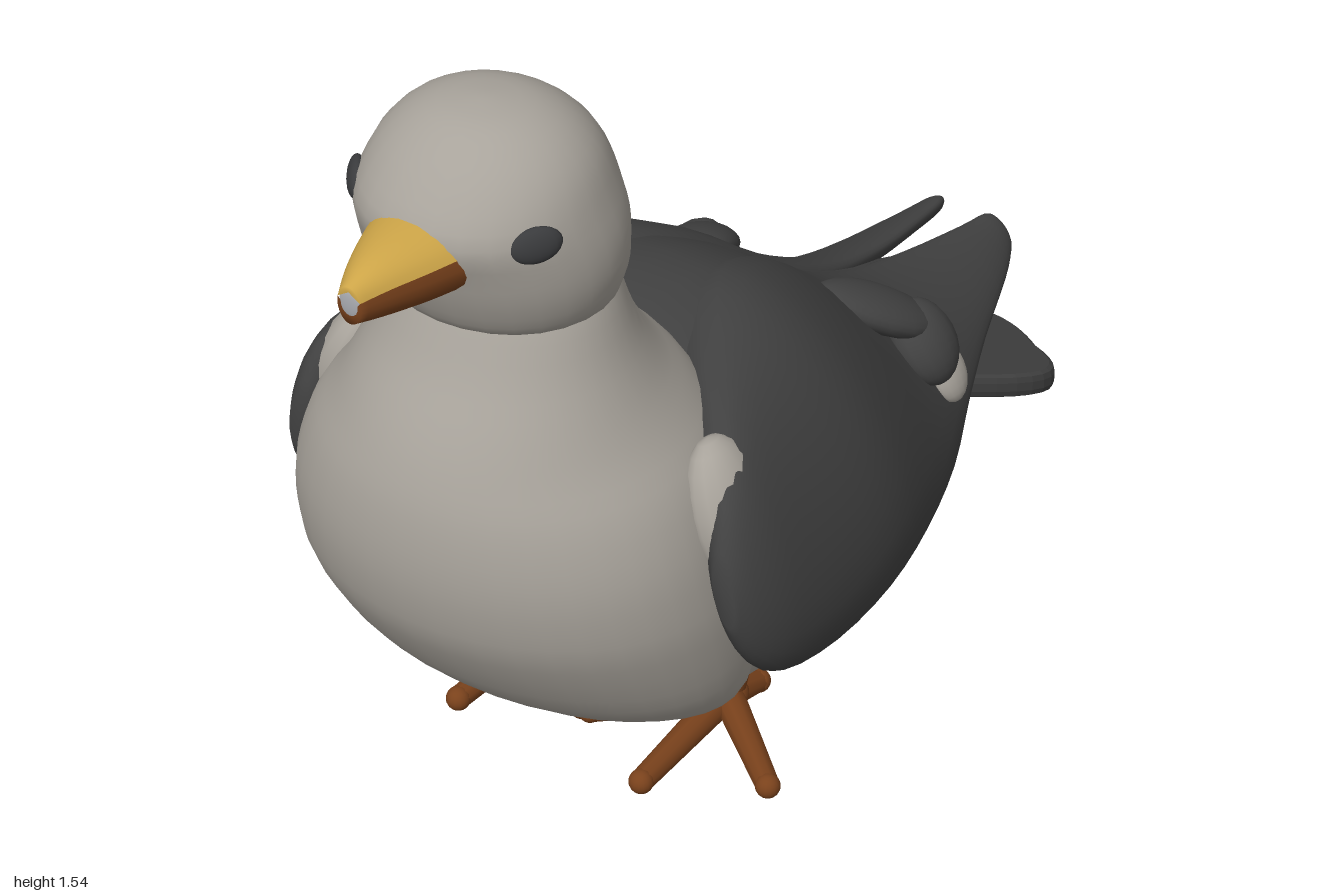
import * as THREE from 'three';

const mat = (name, color) => Object.assign(new THREE.MeshStandardMaterial({ color }), { name });

// Smoothly resample rows of section parameters
function resample(rows, per) {
  const out = [], n = rows.length;
  for (let i = 0; i < n - 1; i++) {
    const [p, a, b, q] = [rows[Math.max(i - 1, 0)], rows[i], rows[i + 1], rows[Math.min(i + 2, n - 1)]];
    for (let k = 0; k < per; k++) {
      const t = k / per;
      out.push(a.map((v, c) => v + 0.5 * t * (b[c] - p[c] +
        t * (2 * p[c] - 5 * v + 4 * b[c] - q[c] + t * (3 * (v - b[c]) + q[c] - p[c])))));
    }
  }
  out.push(rows[n - 1]);
  return out;
}

// Skin rings of points; point(row, angle) gives [x, y, z]. Rows run front to back or bottom to top.
function loft(rows, point, { seg = 28, per = 3, from = 0, to = Math.PI * 2 } = {}) {
  const secs = resample(rows, per), closed = to - from > 6.28;
  const count = closed ? seg : seg + 1, pos = [], idx = [];
  for (const row of secs)
    for (let j = 0; j < count; j++) pos.push(...point(row, from + (to - from) * j / seg));
  for (let i = 0; i < secs.length - 1; i++)
    for (let j = 0; j < seg; j++) {
      const k = (j + 1) % count, a = i * count + j, b = i * count + k;
      idx.push(a, a + count, b, b, a + count, b + count);
    }
  // end caps
  for (const end of [0, secs.length - 1]) {
    const mid = [0, 0, 0];
    for (let j = 0; j < count; j++)
      for (let c = 0; c < 3; c++) mid[c] += pos[(end * count + j) * 3 + c] / count;
    const m = pos.length / 3;
    pos.push(...mid);
    for (let j = 0; j < seg; j++) {
      const a = end * count + j, b = end * count + (j + 1) % count;
      idx.push(...(end ? [m, b, a] : [m, a, b]));
    }
  }
  const g = new THREE.BufferGeometry();
  g.setAttribute('position', new THREE.Float32BufferAttribute(pos, 3));
  g.setIndex(idx);
  g.computeVertexNormals();
  return g;
}

const pow = (v, n) => Math.sign(v) * Math.abs(v) ** (2 / n);
// Row [z, bottom, top, halfWidth]
const alongZ = n => ([z, lo, hi, w], a) =>
  [w * pow(Math.cos(a), n), (lo + hi) / 2 + (hi - lo) / 2 * pow(Math.sin(a), n), z];
// Row [y, front, back, halfWidth]
const alongY = ([y, f, b, w], a) => [w * Math.cos(a), y, (f + b) / 2 + (f - b) / 2 * Math.sin(a)];
// Row [z, outerX, outerY, innerX, innerY, thickness]
const leaning = ([z, ax, ay, bx, by, t], a) => {
  const dx = bx - ax, dy = by - ay, len = Math.hypot(dx, dy), c = t * Math.cos(a) / len, s = Math.sin(a) / 2;
  return [(ax + bx) / 2 + dy * c + dx * s, (ay + by) / 2 - dx * c + dy * s, z];
};

function mirrored(geo) {
  const g = geo.clone();
  g.scale(-1, 1, 1);
  if (!g.index) g.setIndex([...Array(g.attributes.position.count).keys()]);
  const ix = g.index.array;
  for (let i = 0; i < ix.length; i += 3) [ix[i], ix[i + 1]] = [ix[i + 1], ix[i]];
  return g;
}

function ellipsoid(center, radii, rot = [0, 0, 0]) {
  const g = new THREE.SphereGeometry(1, 16, 12);
  g.scale(...radii);
  g.rotateX(rot[0]); g.rotateY(rot[1]); g.rotateZ(rot[2]);
  g.translate(...center);
  return g;
}

// Tapered round limb between two points
function limb(a, b, ra, rb) {
  const A = new THREE.Vector3(...a), B = new THREE.Vector3(...b), d = B.clone().sub(A);
  const g = new THREE.CylinderGeometry(rb, ra, d.length(), 10);
  g.applyQuaternion(new THREE.Quaternion().setFromUnitVectors(new THREE.Vector3(0, 1, 0), d.normalize()));
  g.translate(...A.add(B).multiplyScalar(0.5).toArray());
  return g;
}

export function createModel() {
  const model = new THREE.Group();
  model.name = 'bird';
  const light = mat('pale grey plumage', 0xa8a39b), dark = mat('charcoal plumage', 0x424242);
  const yellow = mat('yellow beak', 0xcda548), brown = mat('brown legs', 0x7a421c);
  const black = mat('dark eye', 0x3a3b3d), tip = mat('beak tip grey', 0xa9abb0);
  const add = (name, geo, m) => {
    const mesh = new THREE.Mesh(geo, m);
    mesh.name = name;
    model.add(mesh);
  };
  const pair = (name, geo, m) => {
    add('left' + name, geo, m);
    add('right' + name, mirrored(geo), m);
  };

  // Belly to vent
  add('body', loft([
    [0.78, 0.48, 0.7, 0.14], [0.7, 0.36, 0.8, 0.28], [0.6, 0.27, 0.84, 0.365],
    [0.5, 0.225, 0.86, 0.405], [0.3, 0.175, 0.86, 0.43], [0.1, 0.155, 0.82, 0.425], [-0.1, 0.165, 0.71, 0.385],
    [-0.3, 0.19, 0.54, 0.315], [-0.5, 0.21, 0.42, 0.23], [-0.65, 0.225, 0.36, 0.16], [-0.72, 0.25, 0.33, 0.09],
  ], alongZ(2.7), { seg: 40 }), light);

  // Breast flowing up into the neck, and head
  add('breastAndNeck', loft([
    [0.22, 0.48, 0.25, 0.29], [0.3, 0.66, 0.22, 0.375], [0.4, 0.775, 0.2, 0.415], [0.55, 0.872, 0.2, 0.43],
    [0.65, 0.905, 0.22, 0.425], [0.75, 0.915, 0.235, 0.408], [0.85, 0.905, 0.235, 0.372],
    [0.93, 0.88, 0.27, 0.315], [1, 0.845, 0.33, 0.272], [1.08, 0.795, 0.38, 0.235], [1.17, 0.75, 0.41, 0.205],
    [1.22, 0.72, 0.42, 0.18],
  ], alongY, { seg: 40 }), light);
  add('head', loft([
    [1.15, 0.73, 0.43, 0.17], [1.175, 0.775, 0.41, 0.208], [1.24, 0.81, 0.395, 0.231], [1.31, 0.835, 0.392, 0.233],
    [1.38, 0.855, 0.402, 0.217], [1.45, 0.81, 0.435, 0.19], [1.5, 0.755, 0.485, 0.145], [1.53, 0.7, 0.545, 0.085],
    [1.54, 0.64, 0.61, 0.015],
  ], alongY), light);
  pair('Eye', ellipsoid([0.184, 1.378, 0.743], [0.016, 0.032, 0.046], [0, -0.66, 0.2]), black);

  // Beak in two shells
  const beak = [[1, 1.3, 1.372, 0.024], [0.95, 1.288, 1.392, 0.05], [0.88, 1.275, 1.405, 0.08], [0.78, 1.265, 1.415, 0.115]];
  const split = 0.33;
  add('upperBeak', loft(beak, alongZ(2), { seg: 12, from: split, to: Math.PI - split }), yellow);
  add('lowerBeak', loft(beak, alongZ(2), { seg: 14, from: Math.PI - split, to: Math.PI * 2 + split }), brown);
  add('beakTip', ellipsoid([0, 1.338, 0.997], [0.022, 0.027, 0.005]), tip);

  // Dark back between the wings
  add('mantle', loft([
    [0.42, 0.7, 0.86, 0.2], [0.32, 0.5, 0.942, 0.29], [0.1, 0.4, 0.935, 0.32], [-0.1, 0.4, 0.83, 0.27],
    [-0.3, 0.36, 0.67, 0.2], [-0.5, 0.36, 0.55, 0.12], [-0.7, 0.36, 0.465, 0.05], [-0.8, 0.37, 0.43, 0.015],
  ], alongZ(2.2)), dark);

  // Folded wings, rounded shoulder to pointed tip
  pair('Wing', loft([
    [0.61, 0.475, 0.62, 0.45, 0.74, 0.02], [0.57, 0.485, 0.53, 0.425, 0.84, 0.05], [0.48, 0.485, 0.44, 0.36, 0.905, 0.1],
    [0.3, 0.475, 0.375, 0.21, 0.93, 0.165], [0.1, 0.462, 0.35, 0.075, 0.918, 0.195], [-0.1, 0.43, 0.34, 0.03, 0.82, 0.155],
    [-0.3, 0.38, 0.34, 0.01, 0.665, 0.1], [-0.5, 0.3, 0.345, 0.01, 0.555, 0.055], [-0.7, 0.22, 0.35, 0.02, 0.49, 0.035],
    [-0.9, 0.15, 0.36, 0.04, 0.45, 0.025], [-0.98, 0.115, 0.37, 0.05, 0.44, 0.02], [-1, 0.1, 0.385, 0.065, 0.425, 0.01],
  ], leaning), dark);
  pair('Shoulder', ellipsoid([0.41, 0.775, 0.505], [0.065, 0.15, 0.09], [0, 0, 0.35]), light);

  // Raised feathers with pale patches
  pair('Tuft', ellipsoid([0.2, 0.65, -0.31], [0.075, 0.04, 0.14], [-0.5, -0.6, 0]), dark);
  pair('OuterTuft', ellipsoid([0.27, 0.565, -0.37], [0.055, 0.09, 0.075], [0, 0, 0.6]), dark);
  pair('FeatherPatch', ellipsoid([0.3, 0.49, -0.405], [0.032, 0.068, 0.05], [0, 0, 0.5]), light);

  // Split tail fan, sloping down to the back
  const fan = new THREE.Shape();
  fan.moveTo(0.012, 0.45);
  fan.lineTo(0.12, 0.45);
  fan.lineTo(0.24, 0.61);
  fan.bezierCurveTo(0.355, 0.78, 0.325, 0.84, 0.22, 0.9);
  fan.bezierCurveTo(0.16, 0.96, 0.07, 1.02, 0.05, 0.96);
  fan.lineTo(0.014, 0.8);
  const tail = new THREE.ExtrudeGeometry(fan, {
    depth: 0.02, bevelThickness: 0.018, bevelSize: 0.012, bevelSegments: 2, curveSegments: 10,
  });
  tail.rotateX(-Math.PI / 2);
  const p = tail.attributes.position;
  for (let i = 0; i < p.count; i++) p.setY(i, p.getY(i) + 0.332 + (p.getZ(i) + 0.5) * 0.355);
  tail.computeVertexNormals();
  pair('Tail', tail, dark);
  pair('Undertail', ellipsoid([0.17, 0.236, -0.72], [0.1, 0.006, 0.12], [-0.34, 0, 0]), light);

  // Legs and toes
  const ankle = [0.2, 0.055, 0.2];
  pair('Leg', limb([0.2, 0.04, 0.2], [0.208, 0.22, 0.185], 0.03, 0.05), brown);
  pair('Ankle', ellipsoid(ankle, [0.042, 0.035, 0.045]), brown);
  for (const [name, end] of [['MiddleToe', [0.21, 0.06, 0.5]], ['OuterToe', [0.41, 0.06, 0.38]],
    ['InnerToe', [0.01, 0.05, 0.38]], ['BackToe', [0.21, 0.025, 0.105]]]) {
    pair(name, limb(ankle, end, 0.032, 0.023), brown);
    pair(name + 'Tip', ellipsoid(end, [0.024, 0.024, 0.024]), brown);
  }
  return model;
}
